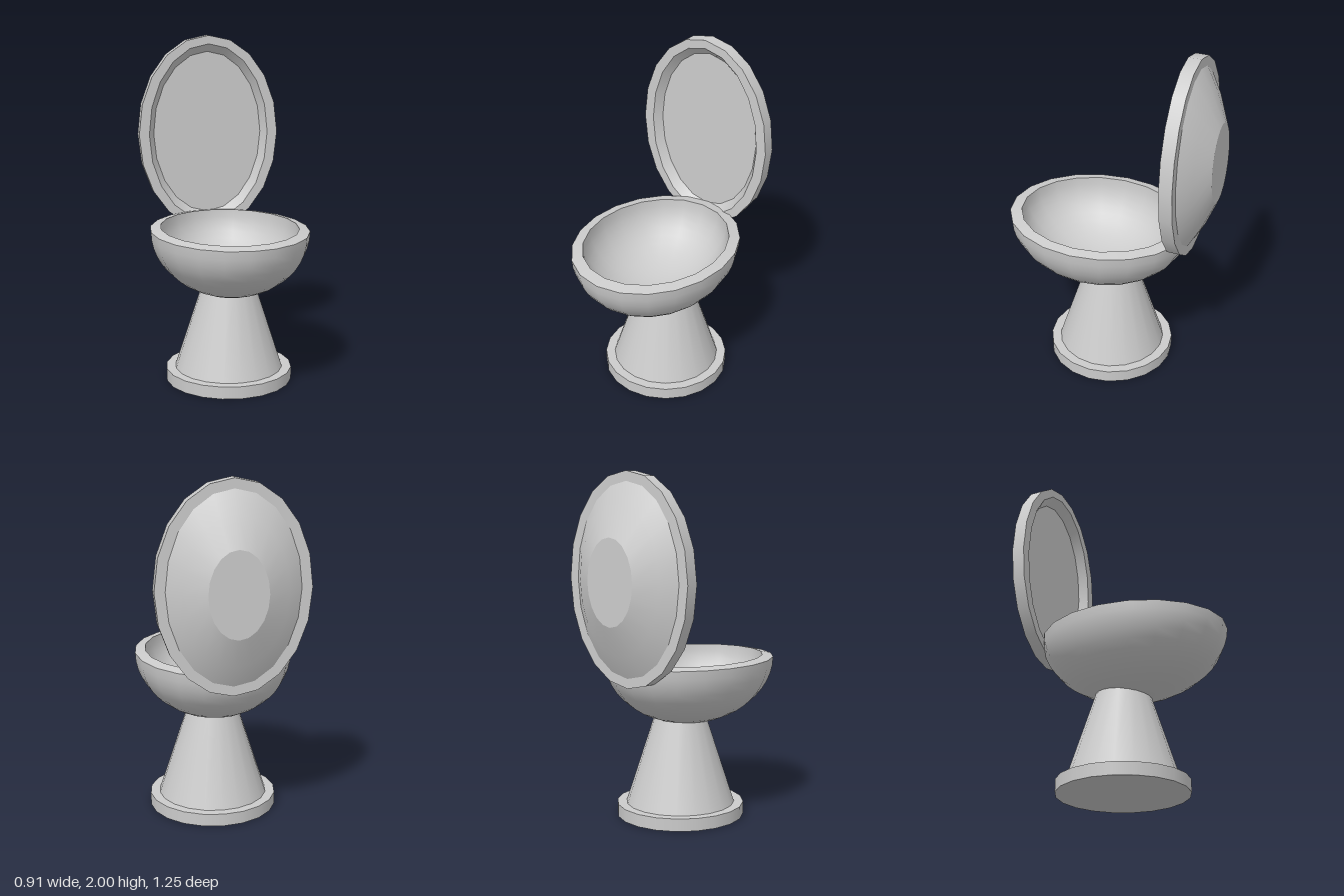
import * as THREE from 'three';

const SIDES = 20;
const material = new THREE.MeshStandardMaterial({ color: 0xcccccc });

// Smooth elliptical surface through rings of [radius x, radius z, height]
function loft(name, rings) {
  const geometry = new THREE.LatheGeometry(rings.map(([, rz, y]) => new THREE.Vector2(rz, y)), SIDES);
  const { position, normal } = geometry.attributes;
  const n = new THREE.Vector3();
  for (let i = 0; i < position.count; i++) {
    const [rx, rz] = rings[i % rings.length];
    const ratio = rz > 0 ? rx / rz : 1;
    position.setX(i, position.getX(i) * ratio);
    n.fromBufferAttribute(normal, i);
    n.x /= ratio;
    n.normalize();
    normal.setXYZ(i, n.x, n.y, n.z);
  }
  const mesh = new THREE.Mesh(geometry, material);
  mesh.name = name;
  return mesh;
}

function assemble(name, ...parts) {
  const group = new THREE.Group();
  group.name = name;
  group.add(...parts);
  return group;
}

// Half-ellipsoid rings from the bottom up to the rim
function halfEllipsoid(rx, rz, rimY, depth, steps = 12) {
  return Array.from({ length: steps + 1 }, (_, i) => {
    const a = (i / steps) * Math.PI / 2;
    return [rx * Math.sin(a), rz * Math.sin(a), rimY - depth * Math.cos(a)];
  });
}

function createStand() {
  const cylinder = (name, top, bottom, y0, y1) => {
    const mesh = new THREE.Mesh(new THREE.CylinderGeometry(top, bottom, y1 - y0, SIDES), material);
    mesh.name = name;
    mesh.position.y = (y0 + y1) / 2;
    return mesh;
  };
  const stand = assemble('stand',
    cylinder('foot', 0.373, 0.373, 0, 0.073),
    cylinder('pedestal', 0.153, 0.318, 0.073, 0.583));
  stand.position.x = 0.012;
  return stand;
}

function createBowl() {
  const bowl = assemble('bowl',
    loft('bowlOutside', halfEllipsoid(0.456, 0.545, 0.925, 0.383)),
    loft('bowlRim', [[0.456, 0.545, 0.925], [0.396, 0.474, 0.938]]),
    loft('bowlInside', halfEllipsoid(0.396, 0.474, 0.938, 0.335).reverse()));
  bowl.position.z = 0.077;
  return bowl;
}

// Modelled lying down with its hollow side up, then stood upright
function createLid() {
  const lid = assemble('lid',
    loft('lidBackPanel', [[0, 0, -0.21], [0.163, 0.24, -0.21]]),
    loft('lidDome', [[0.163, 0.24, -0.21], [0.286, 0.41, -0.142], [0.368, 0.535, -0.075]]),
    loft('lidRimBack', [[0.368, 0.535, -0.075], [0.427, 0.59, -0.075]]),
    loft('lidRimEdge', [[0.427, 0.59, -0.075], [0.427, 0.59, 0]]),
    loft('lidRimFront', [[0.427, 0.59, 0], [0.366, 0.54, 0]]),
    loft('lidHollowWall', [[0.366, 0.54, 0], [0.332, 0.492, -0.05]]),
    loft('lidHollowFloor', [[0.332, 0.492, -0.05], [0, 0, -0.05]]));
  lid.rotation.x = Math.PI / 2;
  lid.position.set(-0.02, 1.41, -0.415);
  return lid;
}

export function createModel() {
  return assemble('toilet', createStand(), createBowl(), createLid());
}
